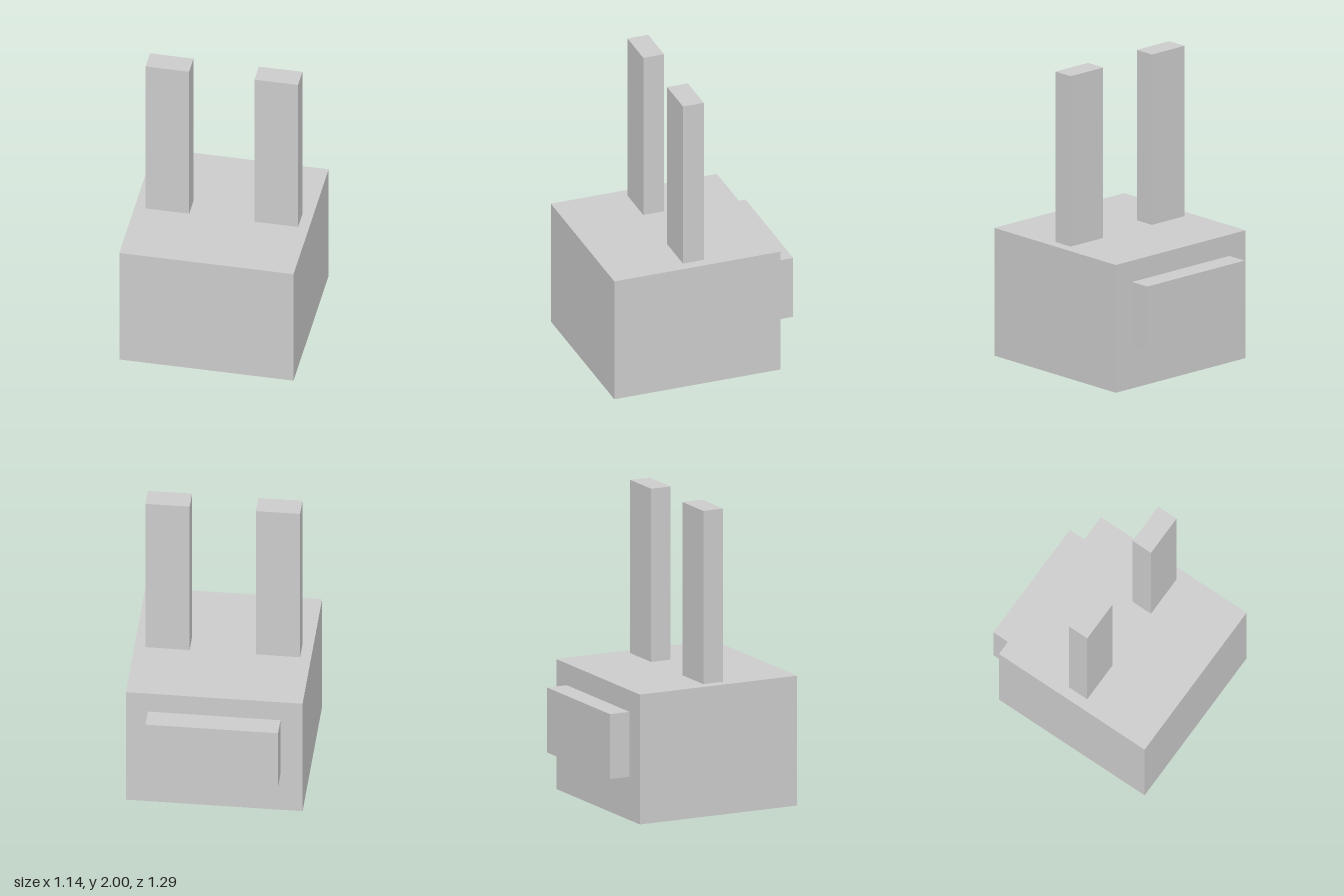
import * as THREE from 'three';

// One block unit: the model is 14 units tall
const U = 2 / 14;

export function createModel() {
  const model = new THREE.Group();
  model.name = 'rabbitHead';
  const material = new THREE.MeshStandardMaterial({ color: 0xcccccc, flatShading: true });

  // Adds a box given its size and centre in block units
  function addBox(name, [w, h, d], [x, y, z]) {
    const mesh = new THREE.Mesh(new THREE.BoxGeometry(w * U, h * U, d * U), material);
    mesh.name = name;
    mesh.position.set(x * U, y * U, z * U);
    model.add(mesh);
  }

  addBox('head', [8, 6, 8], [0, 3, 0.5]);

  // Raised panel on the back of the head
  addBox('backPanel', [6, 3, 1], [0, 3.5, -4]);

  // Upright ears, mirrored
  for (const side of [1, -1]) {
    addBox(side > 0 ? 'leftEar' : 'rightEar', [2, 8, 1], [side * 2.5, 10, 0.5]);
  }

  return model;
}
